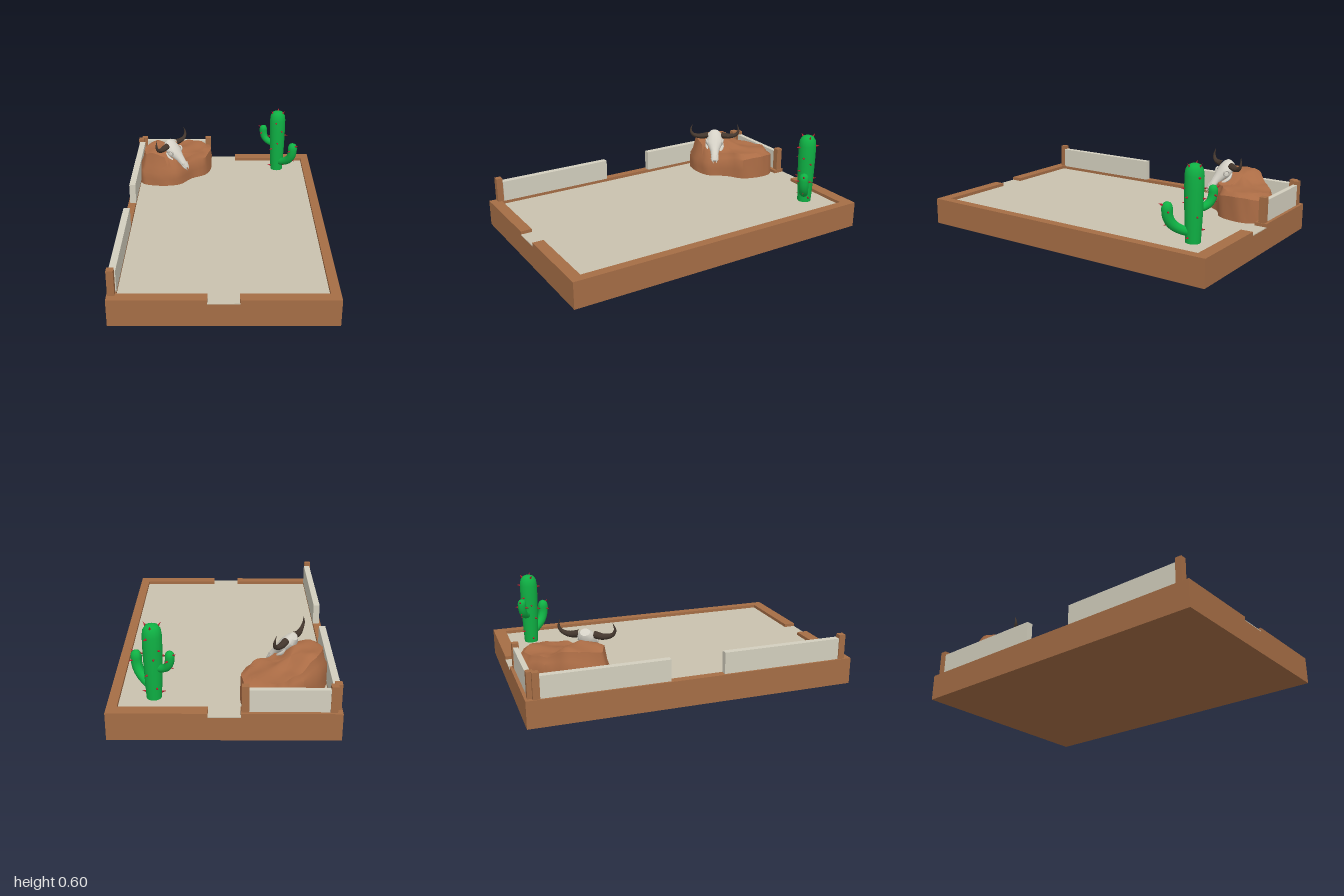
import * as THREE from 'three';
import { toCreasedNormals } from 'three/addons/utils/BufferGeometryUtils.js';

const V = (x, y, z) => new THREE.Vector3(x, y, z);
const mat = (name, color) => Object.assign(new THREE.MeshStandardMaterial({ color }), { name });

function add(parent, name, geometry, material) {
  const mesh = new THREE.Mesh(geometry, material);
  mesh.name = name;
  parent.add(mesh);
  return mesh;
}

// Box given by its limits on each axis
function block(parent, name, material, x0, x1, y0, y1, z0, z1) {
  const mesh = add(parent, name, new THREE.BoxGeometry(x1 - x0, y1 - y0, z1 - z0), material);
  mesh.position.set((x0 + x1) / 2, (y0 + y1) / 2, (z0 + z1) / 2);
  return mesh;
}

// Skin through closed rings with equal point counts
function loft(rings, crease) {
  const n = rings[0].length, index = [];
  for (let r = 0; r < rings.length - 1; r++) {
    for (let i = 0; i < n; i++) {
      const a = r * n + i, b = r * n + (i + 1) % n;
      index.push(a, b, a + n, b, b + n, a + n);
    }
  }
  const g = new THREE.BufferGeometry().setFromPoints(rings.flat());
  g.setIndex(index);
  return toCreasedNormals(g, crease);
}

// Tube whose radius follows a function of its length, closed at a point
function taperedTube(points, radius, segments, sides) {
  const curve = new THREE.CatmullRomCurve3(points);
  const g = new THREE.TubeGeometry(curve, segments, 1, sides);
  const p = g.attributes.position, v = V();
  for (let i = 0; i < p.count; i++) {
    const t = Math.floor(i / (sides + 1)) / segments, c = curve.getPointAt(t);
    v.fromBufferAttribute(p, i).sub(c).multiplyScalar(radius(t)).add(c);
    p.setXYZ(i, v.x, v.y, v.z);
  }
  g.computeVertexNormals();
  return g;
}

function buildYard(root, wood, sand, panel) {
  const yard = new THREE.Group();
  yard.name = 'yard';
  root.add(yard);
  block(yard, 'base', wood, -0.637, 0.637, 0, 0.14, -1, 1);
  block(yard, 'floor', sand, -0.587, 0.58, 0.14, 0.145, -0.925, 0.93);
  // Long rims, then end rims with a gateway in the middle
  block(yard, 'rightRim', wood, -0.637, -0.587, 0.14, 0.165, -1, 1);
  block(yard, 'leftRim', wood, 0.58, 0.637, 0.14, 0.165, -1, 1);
  for (const [z0, z1] of [[-1, -0.925], [0.93, 1]]) {
    block(yard, 'endRim', wood, -0.587, -0.09, 0.14, 0.165, z0, z1);
    block(yard, 'endRim', wood, 0.087, 0.58, 0.14, 0.165, z0, z1);
    block(yard, 'gateway', sand, -0.09, 0.087, 0.14, 0.145, z0, z1);
  }
  // Fence
  for (const [x, z] of [[-0.611, -0.938], [-0.589, -0.965], [-0.115, -0.965], [-0.611, 0.935]])
    block(yard, 'fencePost', wood, x - 0.02, x + 0.02, 0.165, 0.32, z - 0.02, z + 0.02);
  block(yard, 'sidePanel', panel, -0.625, -0.585, 0.165, 0.297, 0.165, 0.915);
  block(yard, 'sidePanel', panel, -0.625, -0.585, 0.165, 0.297, -0.918, -0.165);
  block(yard, 'backPanel', panel, -0.569, -0.135, 0.165, 0.297, -0.98, -0.95);
}

function buildRock(root, material) {
  // Ground outline: x, height of the edge, z
  const outline = [
    [-0.31, 0.25, -0.95], [-0.38, 0.27, -0.9], [-0.49, 0.29, -0.8], [-0.56, 0.3, -0.71],
    [-0.59, 0.25, -0.55], [-0.55, 0.24, -0.5], [-0.42, 0.235, -0.475], [-0.31, 0.24, -0.5],
    [-0.23, 0.26, -0.6], [-0.13, 0.28, -0.67], [-0.09, 0.295, -0.8], [-0.105, 0.29, -0.89],
    [-0.23, 0.26, -0.975]].map(p => V(...p));
  const edge = new THREE.CatmullRomCurve3(outline, true, 'centripetal').getPoints(52).slice(0, 52);
  const top = (x, z) => {
    const high = 1 - THREE.MathUtils.smoothstep(Math.hypot((x + 0.47) / 0.95, (z + 0.63) / 1.2), 0.07, 0.2);
    return 0.315 + 0.068 * high + 0.01 * Math.sin(x * 31 + 1) * Math.sin(z * 27);
  };
  // Scale towards the middle, and blend from edge height to top height
  const levels = [[1, -1], [0.99, -0.5], [0.98, 0], [0.91, 0.3], [0.84, 0.92], [0.68, 1], [0.5, 1], [0.3, 1], [0, 1]];
  const rings = levels.map(([s, k]) => edge.map((e, i) => {
    const w = k > -1 && k < 1 ? s + 0.015 * Math.sin(i * 1.45) : s;
    const x = -0.37 + (e.x + 0.37) * w, z = -0.7 + (e.z + 0.7) * w;
    const y = k < 0 ? e.y + (e.y - 0.143) * k : e.y + (top(x, z) - e.y) * k;
    return V(x, y, z);
  }));
  add(root, 'rock', loft(rings, 0.75), material);
}

function buildSkull(root, bone, horn) {
  const skull = new THREE.Group();
  skull.name = 'skull';
  skull.position.set(-0.37, 0.415, -0.59);
  skull.rotation.y = 0.995;
  root.add(skull);
  const head = new THREE.Group();
  head.name = 'head';
  head.rotation.x = 0.8;
  skull.add(head);
  // Sections from the crown to the nose: distance, half width, top, bottom
  const sections = [[-0.035, 0.001, 0, 0], [-0.033, 0.03, 0.018, -0.03], [-0.01, 0.05, 0.028, -0.05],
    [0.03, 0.057, 0.03, -0.055], [0.06, 0.06, 0.026, -0.05], [0.085, 0.046, 0.022, -0.044],
    [0.12, 0.031, 0.018, -0.036], [0.16, 0.026, 0.012, -0.028], [0.185, 0.028, 0.006, -0.022],
    [0.2, 0.02, 0, -0.018], [0.2, 0.001, -0.008, -0.009]];
  const rings = sections.map(([z, w, t, b]) => Array.from({ length: 14 }, (_, i) => {
    const a = i / 14 * Math.PI * 2, s = Math.sin(a);
    return V(Math.cos(a) * w, (t + b) / 2 + s * (t - b) / 2, z);
  }));
  add(head, 'cranium', loft(rings, 0.7), bone);
  for (const side of [-1, 1]) {
    // Eye socket rim, cheek bone and nose prong
    const rim = add(head, 'eyeSocket', new THREE.TorusGeometry(0.017, 0.006, 6, 14), bone);
    rim.position.set(side * 0.055, -0.002, 0.055);
    rim.rotation.y = side * 1.25;
    const cheek = [V(side * 0.052, -0.035, 0.03), V(side * 0.056, -0.04, 0.07), V(side * 0.03, -0.028, 0.13)];
    add(head, 'cheekBone', taperedTube(cheek, t => 0.004 + 0.008 * Math.sin(Math.PI * t), 8, 6), bone);
    const prong = [V(side * 0.018, 0.002, 0.16), V(side * 0.016, -0.004, 0.195), V(side * 0.009, -0.01, 0.218)];
    add(head, 'noseProng', taperedTube(prong, t => 0.009 * (1 - t) + 0.001, 6, 6), bone);
    // Horn
    const path = [V(side * 0.045, 0, 0), V(side * 0.1, -0.008, 0), V(side * 0.152, 0.005, 0.005),
      V(side * 0.169, 0.035, 0.003), V(side * 0.158, 0.078, -0.002)];
    add(skull, 'horn', taperedTube(path, t => 0.021 * (1 - t ** 1.5) + 0.0005, 18, 10), horn);
  }
}

function buildCactus(root, green, red) {
  const cactus = new THREE.Group();
  cactus.name = 'cactus';
  cactus.position.set(0.39, 0, -0.785);
  root.add(cactus);
  const spine = (pos, dir) => {
    const m = add(cactus, 'spine', new THREE.ConeGeometry(0.008, 0.03, 6), red);
    m.position.copy(pos).addScaledVector(dir, 0.009);
    m.quaternion.setFromUnitVectors(V(0, 1, 0), dir);
  };
  // Trunk
  const profile = [[0.043, 0.143], [0.047, 0.22], [0.052, 0.33], [0.055, 0.45], [0.055, 0.525],
    [0.05, 0.56], [0.036, 0.582], [0.018, 0.59], [0, 0.592]].map(p => new THREE.Vector2(...p));
  add(cactus, 'trunk', new THREE.LatheGeometry(profile, 16), green);
  // Trunk spines: angle from the front, height
  for (const [a, y] of [[-0.25, 0.515], [0.5, 0.45], [0, 0.36], [-0.95, 0.31], [-1.4, 0.175], [1.4, 0.178],
    [1.35, 0.41], [-1.5, 0.4], [2.6, 0.52], [3.3, 0.4], [2.5, 0.3], [-2.4, 0.45], [3.6, 0.22]]) {
    const d = V(Math.sin(a), 0.05, Math.cos(a)).normalize();
    spine(d.clone().multiplyScalar(0.043 + (y - 0.143) * 0.037).setY(y), d);
  }
  for (const a of [-1.3, 1.2, 3]) {
    const d = V(Math.sin(a) * 0.6, 0.8, Math.cos(a) * 0.6);
    spine(V(Math.sin(a) * 0.037, 0.578, Math.cos(a) * 0.037), d);
  }
  // Arms: direction in plan, path as [distance, height], radius
  const arms = [
    [V(0.7, 0, 0.71), [[0.02, 0.205], [0.07, 0.222], [0.12, 0.255], [0.145, 0.3], [0.15, 0.386]], 0.034],
    [V(-0.84, 0, -0.54), [[0.02, 0.335], [0.065, 0.342], [0.1, 0.365], [0.115, 0.4], [0.117, 0.462]], 0.028]];
  for (const [dir, path, r] of arms) {
    const at = (d, y) => dir.clone().multiplyScalar(d).setY(y);
    const radius = t => r * (0.75 + 0.25 * t) * (t < 0.82 ? 1 : Math.sqrt(Math.max(0, 1 - ((t - 0.82) / 0.18) ** 2)));
    add(cactus, 'arm', taperedTube(path.map(p => at(...p)), radius, 28, 12), green);
    const [d, y] = path[4], side = V(-dir.z, 0, dir.x);
    spine(at(d + r * 0.8, y - 0.02), dir.clone().setY(0.5).normalize());
    spine(at(path[2][0] + r * 0.75, path[2][1]), dir.clone().setY(-0.2).normalize());
    for (const s of [-1, 1])
      spine(at(d, y - 0.055).addScaledVector(side, s * r * 0.92), side.clone().multiplyScalar(s));
  }
}

export function createModel() {
  const root = new THREE.Group();
  root.name = 'desertYard';
  buildYard(root, mat('wood', 0xa56d45), mat('sand', 0xc9c2ae), mat('panel', 0xd3cfbe));
  buildRock(root, mat('rockBrown', 0xab6c45));
  buildSkull(root, mat('bone', 0xd6d2c7), mat('hornBrown', 0x44372e));
  buildCactus(root, mat('cactusGreen', 0x0fb144), mat('spineRed', 0xb3202e));
  return root;
}
